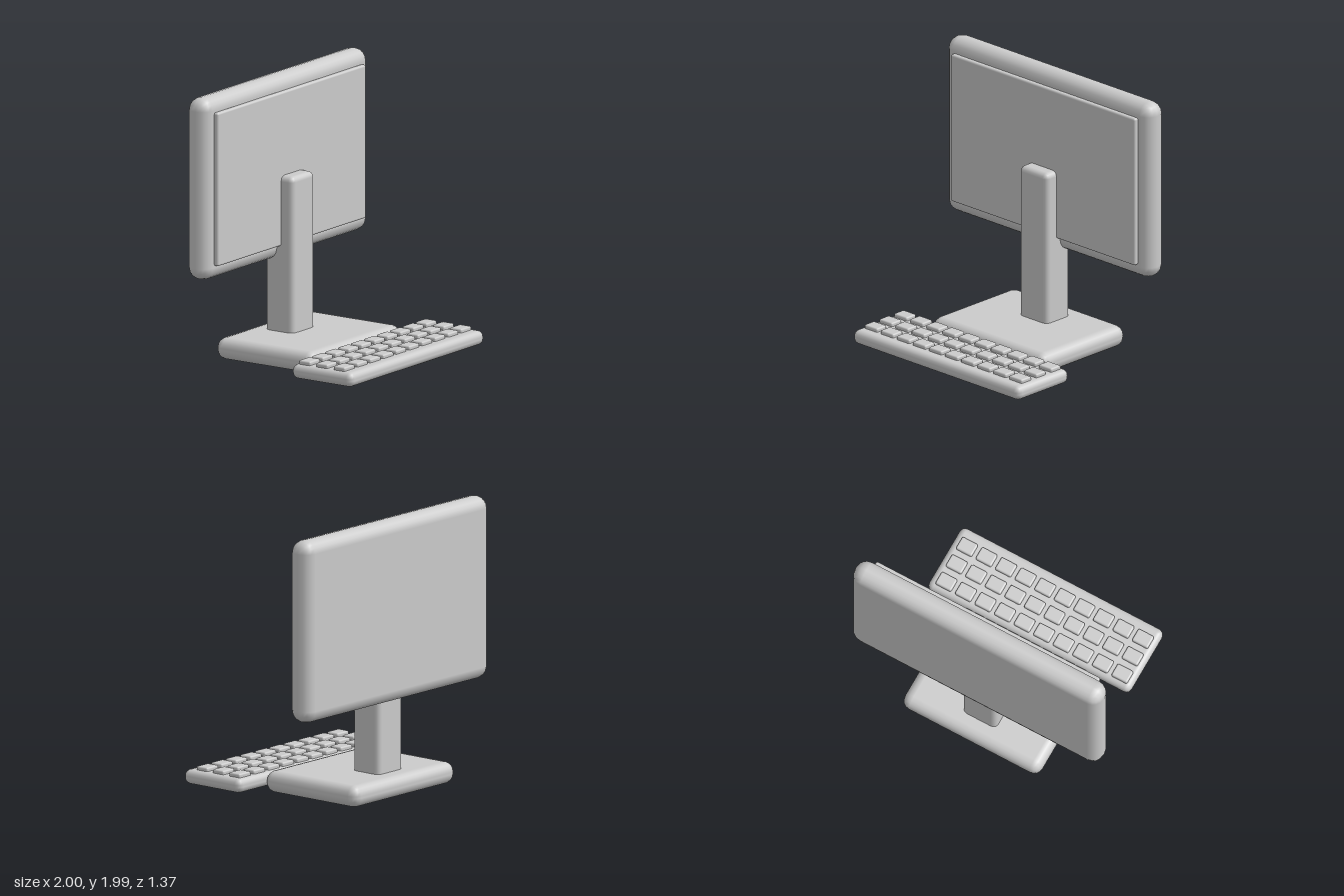
import * as THREE from 'three';
import { RoundedBoxGeometry } from 'three/addons/geometries/RoundedBoxGeometry.js';

const plastic = new THREE.MeshStandardMaterial({ color: 0xcccccc });
plastic.name = 'light grey plastic';

// Rounded box given by its extents on each axis
function block(name, [x0, x1], [y0, y1], [z0, z1], radius, segments = 2) {
  const geometry = new RoundedBoxGeometry(x1 - x0, y1 - y0, z1 - z0, segments, radius);
  const mesh = new THREE.Mesh(geometry, plastic);
  mesh.name = name;
  mesh.position.set((x0 + x1) / 2, (y0 + y1) / 2, (z0 + z1) / 2);
  return mesh;
}

export function createModel() {
  const model = new THREE.Group();
  model.name = 'desktopComputer';

  // Monitor on its stand
  const monitor = new THREE.Group();
  monitor.name = 'monitor';
  monitor.add(
    block('monitorHousing', [-1, 1], [0.67, 1.985], [-0.625, -0.438], 0.09),
    block('screen', [-0.9, 0.9], [0.775, 1.882], [-0.445, -0.403], 0.015),
    block('standColumn', [-0.136, 0.136], [0.1, 1.28], [-0.545, -0.303], 0.04),
    block('standBase', [-0.553, 0.553], [0, 0.156], [-0.685, 0.163], 0.07),
  );

  // Keyboard with three rows of ten keys
  const keyboard = new THREE.Group();
  keyboard.name = 'keyboard';
  keyboard.add(block('keyboardBody', [-0.813, 0.813], [0.03, 0.134], [0.16, 0.682], 0.045));
  for (let row = 0; row < 3; row++) {
    for (let col = 0; col < 10; col++) {
      const x = -0.711 + col * 0.157;
      const z = 0.25 + row * 0.149;
      keyboard.add(block('key', [x - 0.063, x + 0.063], [0.11, 0.161], [z - 0.05, z + 0.05], 0.012));
    }
  }

  model.add(monitor, keyboard);
  return model;
}
